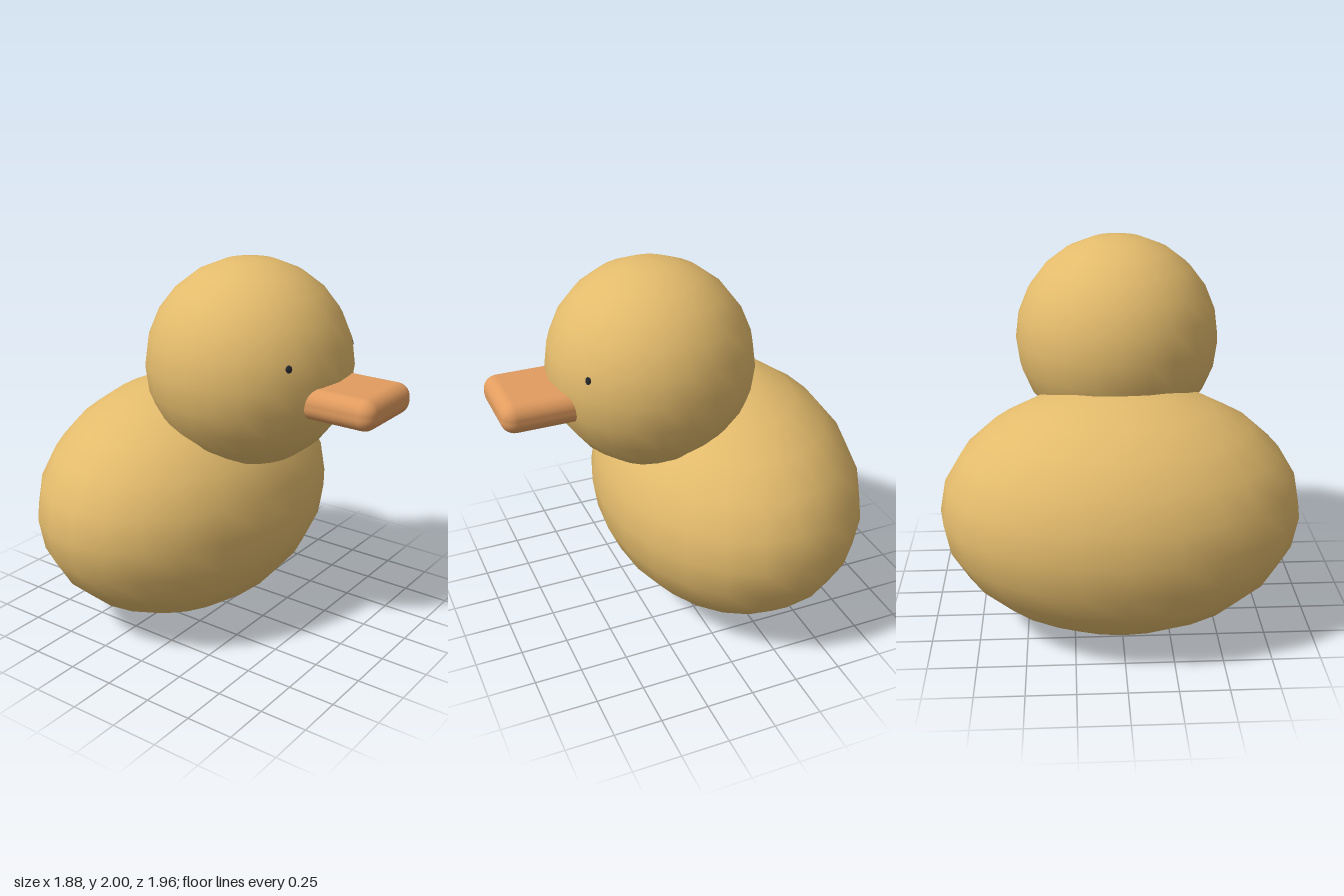
import * as THREE from 'three';
import { RoundedBoxGeometry } from 'three/addons/geometries/RoundedBoxGeometry.js';

const yellow = new THREE.MeshStandardMaterial({ color: 0xe3bb6c });
const orange = new THREE.MeshStandardMaterial({ color: 0xe29c5f });
const dark = new THREE.MeshStandardMaterial({ color: 0x23262c });

export function createModel() {
  const duck = new THREE.Group();
  duck.name = 'duck';

  const add = (name, geometry, material, x, y, z) => {
    const mesh = new THREE.Mesh(geometry, material);
    mesh.name = name;
    mesh.position.set(x, y, z);
    duck.add(mesh);
    return mesh;
  };

  // Wide egg-shaped body and round head, 24 sides each
  const ball = new THREE.SphereGeometry(1, 24, 12);
  add('body', ball, yellow, 0, 0.655, -0.275).scale.set(0.94, 0.655, 0.705);
  const head = add('head', ball, yellow, 0, 1.462, 0.147);
  head.scale.setScalar(0.538);

  // Flat bill, its back end sunk into the head
  add('bill', new RoundedBoxGeometry(0.44, 0.16, 0.56, 4, 0.07), orange, 0, 1.37, 0.70);

  // Small eyes lying flat on the face
  for (const side of [1, -1]) {
    const outward = new THREE.Vector3(side * 0.297, 0.105, 0.43).normalize();
    const spot = outward.clone().multiplyScalar(0.532).add(head.position);
    const eye = add(side > 0 ? 'leftEye' : 'rightEye', new THREE.SphereGeometry(1, 12, 8), dark, spot.x, spot.y, spot.z);
    eye.scale.set(0.017, 0.019, 0.006);
    eye.lookAt(spot.clone().add(outward));
  }
  return duck;
}
